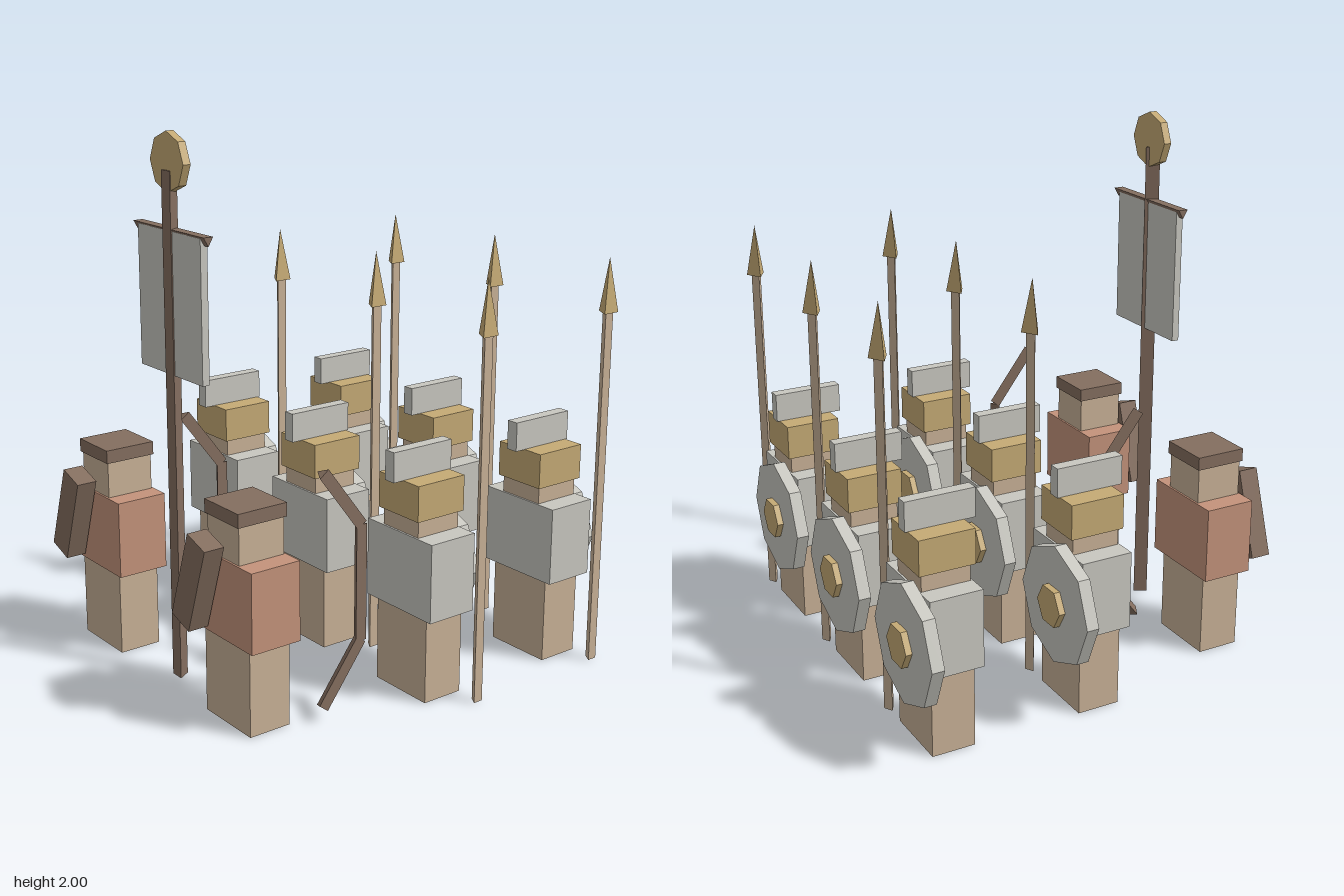
import * as THREE from 'three';

export function createModel() {
  const mat = (name, color) => {
    const m = new THREE.MeshStandardMaterial({ color, flatShading: true });
    m.name = name;
    return m;
  };
  const tan = mat('tan', 0xc8b197);
  const gold = mat('gold', 0xc5aa75);
  const grey = mat('grey', 0xc8c7c0);
  const brown = mat('brown', 0x846e5f);
  const clay = mat('clay', 0xc4937b);

  const model = new THREE.Group();
  model.name = 'troop';

  const add = (parent, name, geometry, material, x, y, z) => {
    const mesh = new THREE.Mesh(geometry, material);
    mesh.name = name;
    mesh.position.set(x, y, z);
    parent.add(mesh);
    return mesh;
  };
  const box = (w, h, d) => new THREE.BoxGeometry(w, h, d);
  // Three-sided bar along y, one edge pointing back
  const bar = (r, h) => new THREE.CylinderGeometry(r, r, h, 3).rotateY(Math.PI);
  // Flat polygonal disc facing the +x side
  const disc = (r, t, sides) => new THREE.CylinderGeometry(r, r, t, sides).rotateZ(-Math.PI / 2);

  // Blocky body shared by every figure
  function figure(name, x, z, torsoMaterial) {
    const g = new THREE.Group();
    g.name = name;
    g.position.set(x, 0, z);
    add(g, 'legs', box(0.165, 0.33, 0.267), tan, 0, 0.165, 0);
    add(g, 'torso', box(0.2, 0.292, 0.346), torsoMaterial, 0, 0.469, 0);
    add(g, 'head', box(0.185, 0.15, 0.185), tan, 0, 0.68, 0);
    model.add(g);
    return g;
  }

  function spearman(x, z) {
    const g = figure('spearman', x, z, grey);
    add(g, 'helmet', box(0.212, 0.132, 0.212), gold, 0, 0.745, 0);
    add(g, 'crest', box(0.265, 0.11, 0.047), grey, -0.016, 0.865, 0);
    // Shield with central boss
    add(g, 'shield', disc(0.226, 0.047, 8), grey, 0.144, 0.441, -0.094);
    add(g, 'shieldBoss', disc(0.078, 0.044, 6), gold, 0.169, 0.441, -0.094);
    // Spear
    add(g, 'spearShaft', bar(0.0215, 1.36), tan, 0.077, 0.68, 0.228);
    add(g, 'spearHead', new THREE.ConeGeometry(0.04, 0.2, 3).rotateY(Math.PI), gold, 0.077, 1.44, 0.228);
  }

  function archer(x, z) {
    const g = figure('archer', x, z, clay);
    add(g, 'cap', box(0.2, 0.05, 0.2), brown, 0, 0.776, 0);
    // Quiver leaning forward on the right side
    add(g, 'quiver', box(0.079, 0.34, 0.11), brown, -0.146, 0.521, -0.08).rotation.x = 0.32;
    // Bow: straight grip with two angled limbs
    add(g, 'bowGrip', bar(0.026, 0.43), brown, 0.346, 0.48, 0.1845);
    for (const s of [1, -1]) {
      add(g, s > 0 ? 'upperBowLimb' : 'lowerBowLimb', bar(0.026, 0.272), brown,
        0.265, 0.481 + s * 0.319, 0.1845).rotation.z = s * 0.648;
    }
  }

  for (const x of [0.024, 0.61]) {
    for (const z of [-0.55, 0.036, 0.622]) spearman(x, z);
  }
  for (const z of [-0.392, 0.458]) archer(-0.618, z);

  // Banner standard
  const standard = new THREE.Group();
  standard.name = 'standard';
  standard.position.set(-0.62, 0, 0.036);
  model.add(standard);
  const pole = new THREE.CylinderGeometry(0.031, 0.031, 1.867, 3).rotateY(Math.PI / 2);
  add(standard, 'pole', pole, brown, -0.005, 0.9335, 0);
  const crossbar = new THREE.CylinderGeometry(0.022, 0.022, 0.447, 3).rotateX(Math.PI / 2);
  add(standard, 'crossbar', crossbar, brown, 0.002, 1.656, 0);
  add(standard, 'banner', box(0.028, 0.51, 0.397), grey, 0, 1.405, 0);
  add(standard, 'finialDisc', disc(0.105, 0.03, 8), gold, 0, 1.895, 0);

  return model;
}
